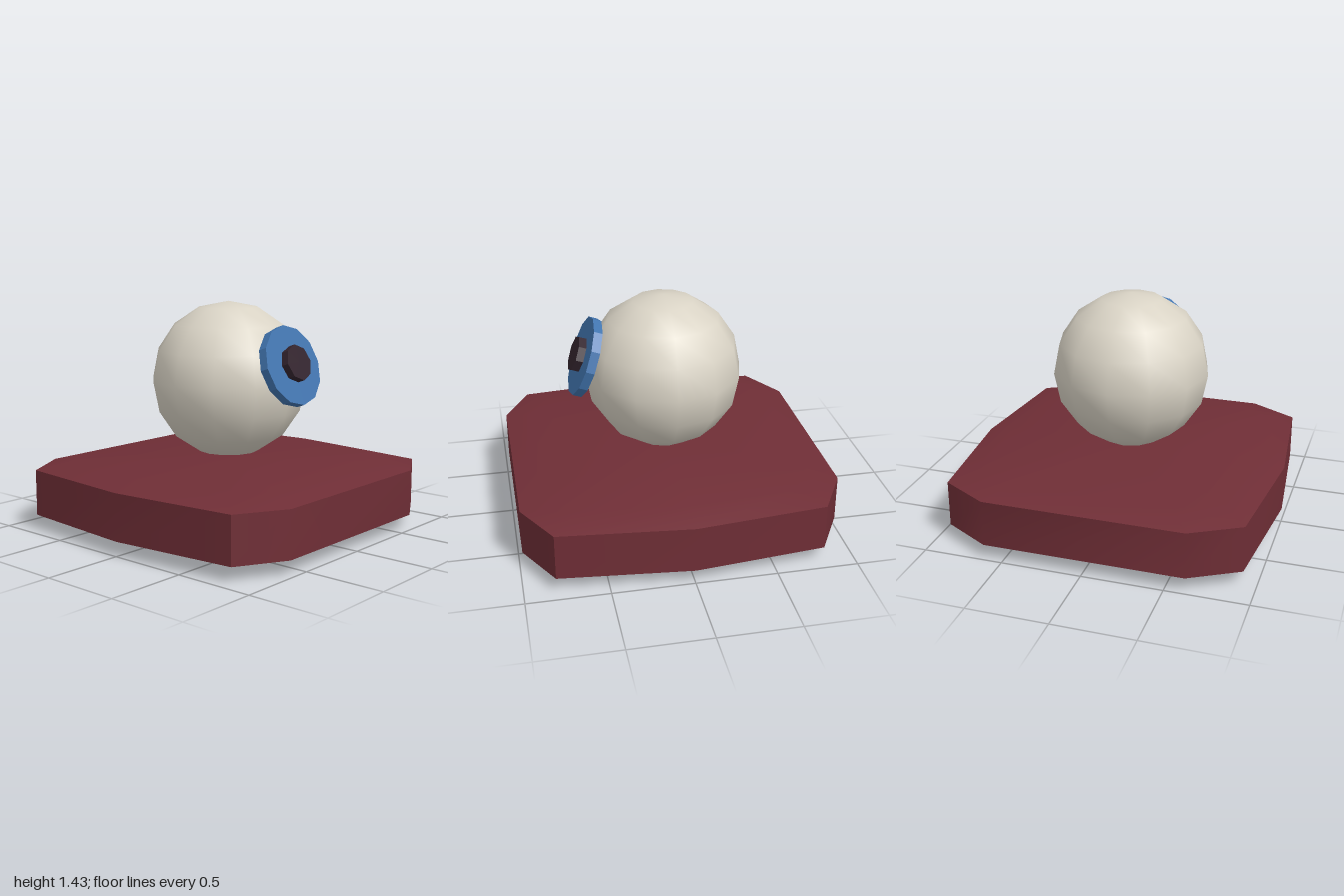
import * as THREE from 'three';
import { toCreasedNormals } from 'three/addons/utils/BufferGeometryUtils.js';

const flat = (name, color) => {
  const m = new THREE.MeshStandardMaterial({ color });
  m.name = name;
  return m;
};

// Cushion-like slab: one outline lofted through scaled rings, capped by shallow fans
function slabGeometry() {
  const outline = [
    [1, 0], [0.92, -0.81], [0.62, -0.98], [-0.62, -0.98], [-0.92, -0.81],
    [-1, 0], [-0.92, 0.81], [-0.62, 0.98], [0.62, 0.98], [0.92, 0.81],
  ];
  const rings = [[0.825, 0.026], [1, 0.09], [1, 0.379], [0.825, 0.426]]; // scale, height
  const n = outline.length;
  const positions = [];
  const index = [];
  for (const [s, y] of rings) for (const [x, z] of outline) positions.push(x * s, y, z * s);
  const bottom = rings.length * n;
  const top = bottom + 1;
  positions.push(0, 0, 0, 0, 0.424, 0);
  const last = (rings.length - 1) * n;
  for (let i = 0; i < n; i++) {
    const j = (i + 1) % n;
    for (let r = 0; r < last; r += n) {
      index.push(r + i, r + j, r + n + j, r + i, r + n + j, r + n + i);
    }
    index.push(bottom, j, i, top, last + i, last + j);
  }
  const g = new THREE.BufferGeometry();
  g.setAttribute('position', new THREE.Float32BufferAttribute(positions, 3));
  g.setIndex(index);
  return toCreasedNormals(g, 0.6);
}

// Short faceted disc facing +z
function disc(name, radius, depth, sides, material) {
  const g = new THREE.CylinderGeometry(radius, radius, depth, sides).rotateX(Math.PI / 2);
  const mesh = new THREE.Mesh(toCreasedNormals(g, 0.4), material);
  mesh.name = name;
  return mesh;
}

export function createModel() {
  const model = new THREE.Group();
  model.name = 'eyeOnSlab';

  const slab = new THREE.Mesh(slabGeometry(), flat('darkRed', 0x6f2e36));
  slab.name = 'baseSlab';

  const ball = new THREE.Mesh(new THREE.SphereGeometry(0.495, 12, 8), flat('ivory', 0xd9d3c5));
  ball.name = 'eyeball';
  ball.position.y = 0.937;

  // Iris and pupil share an upward tilt
  const gaze = new THREE.Group();
  gaze.name = 'gaze';
  const iris = disc('iris', 0.25, 0.055, 12, flat('blue', 0x4275b0));
  const pupil = disc('pupil', 0.112, 0.05, 8, flat('darkPlum', 0x33242e));
  pupil.position.set(0, 0.004, 0.05);
  gaze.add(iris, pupil);
  gaze.position.set(0, 1.058, 0.491);
  gaze.rotation.x = -0.34;

  model.add(slab, ball, gaze);
  return model;
}
